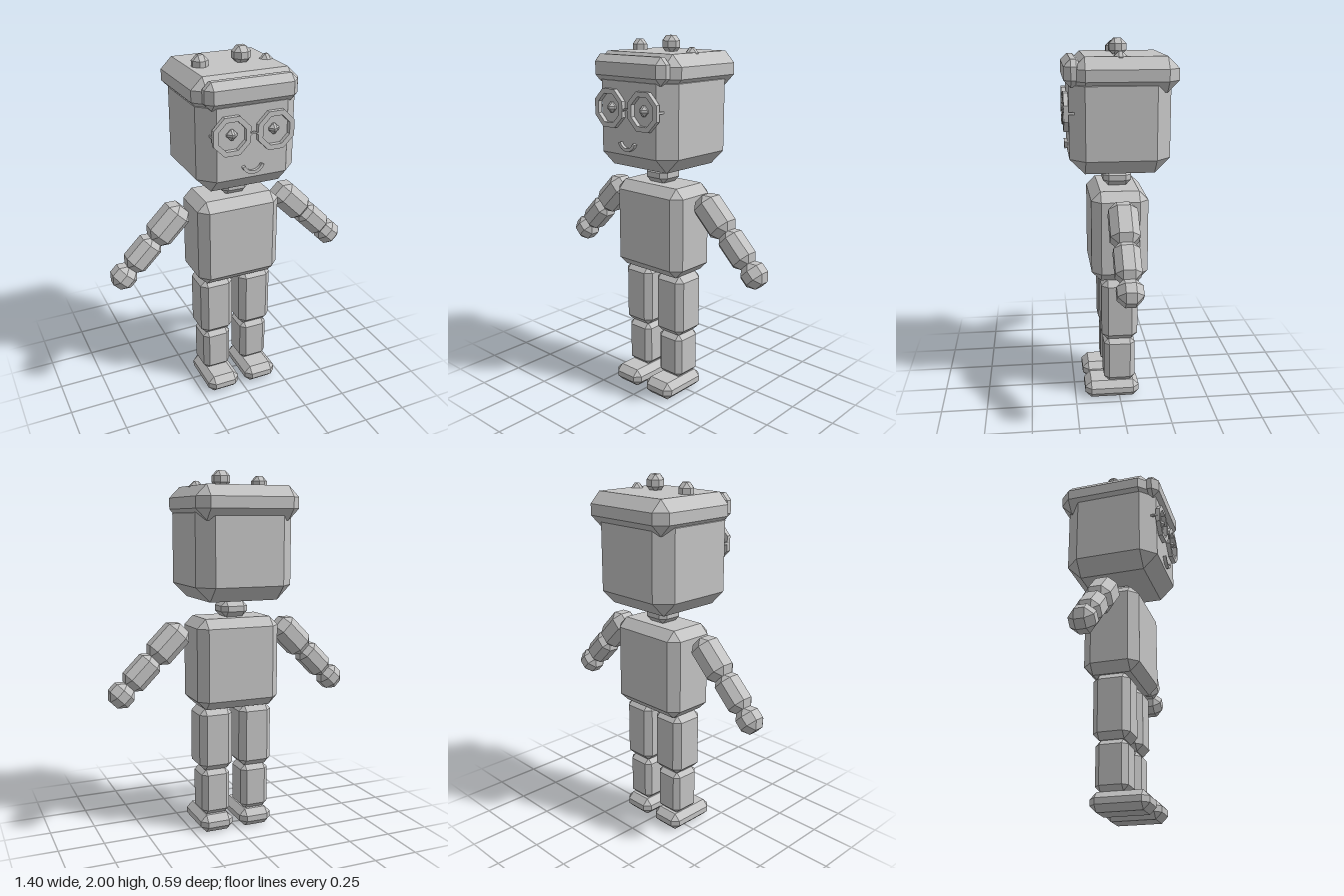
import * as THREE from 'three';
import { ConvexGeometry } from 'three/addons/geometries/ConvexGeometry.js';

const grey = new THREE.MeshStandardMaterial({ color: 0xc4c4c4 });
grey.name = 'plain grey';

// Box with every edge and corner cut off at distance b
function chamferBox(w, h, d, b) {
  const pts = [];
  for (const x of [-1, 1]) for (const y of [-1, 1]) for (const z of [-1, 1]) {
    const X = w / 2, Y = h / 2, Z = d / 2;
    pts.push(
      new THREE.Vector3(x * X, y * (Y - b), z * (Z - b)),
      new THREE.Vector3(x * (X - b), y * Y, z * (Z - b)),
      new THREE.Vector3(x * (X - b), y * (Y - b), z * Z));
  }
  return new ConvexGeometry(pts);
}

// Flat band following an arc, given thickness along z
function arcBand(inner, outer, from, to, steps, depth) {
  const at = (r, i) => {
    const a = from + (to - from) * i / steps;
    return new THREE.Vector2(Math.cos(a) * r, Math.sin(a) * r);
  };
  const pts = [];
  for (let i = 0; i <= steps; i++) pts.push(at(outer, i));
  for (let i = steps; i >= 0; i--) pts.push(at(inner, i));
  return new THREE.ExtrudeGeometry(new THREE.Shape(pts), { depth, bevelEnabled: false });
}

// Eight-sided ring
function octagonRing(inner, outer, depth) {
  const loop = r => Array.from({ length: 8 }, (_, i) => {
    const a = (i + 0.5) * Math.PI / 4;
    return new THREE.Vector2(Math.cos(a) * r, Math.sin(a) * r);
  });
  const shape = new THREE.Shape(loop(outer));
  shape.holes.push(new THREE.Path(loop(inner).reverse()));
  return new THREE.ExtrudeGeometry(shape, { depth, bevelEnabled: false });
}

export function createModel() {
  const model = new THREE.Group();
  model.name = 'blockFigure';

  const add = (name, geometry, x, y, z, rotZ = 0) => {
    const mesh = new THREE.Mesh(geometry, grey);
    mesh.name = name;
    mesh.position.set(x, y, z);
    mesh.rotation.z = rotZ;
    model.add(mesh);
    return mesh;
  };
  const block = (name, [w, h, d], b, [x, y, z], rotZ = 0) =>
    add(name, chamferBox(w, h, d, b), x, y, z, rotZ);

  // Trunk and head
  block('torso', [0.476, 0.5, 0.306], 0.05, [0, 0.968, 0]);
  block('neck', [0.154, 0.09, 0.154], 0.03, [0, 1.262, 0]);
  block('head', [0.546, 0.54, 0.526], 0.08, [0, 1.586, 0]);

  // Cap with front brim and three studs
  block('cap', [0.58, 0.18, 0.54], 0.06, [0, 1.828, -0.028]);
  block('capBrim', [0.5, 0.14, 0.1], 0.036, [0, 1.836, 0.237]);
  block('studRight', [0.085, 0.09, 0.08], 0.028, [-0.167, 1.931, 0]);
  block('studMiddle', [0.094, 0.09, 0.09], 0.028, [0.058, 1.955, 0]);
  block('studLeft', [0.074, 0.074, 0.074], 0.028, [0.2, 1.906, 0]);

  // Mouth
  const deg = Math.PI / 180;
  add('mouth', arcBand(0.047, 0.064, -160 * deg, -20 * deg, 8, 0.022), 0, 1.482, 0.259);

  // Glasses bridge
  add('glassesBridge', arcBand(0.025, 0.033, 35 * deg, 145 * deg, 4, 0.012), 0, 1.61, 0.274);

  for (const s of [-1, 1]) {
    const side = s > 0 ? 'Left' : 'Right';

    // Eyes and glasses
    block('eye' + side, [0.056, 0.056, 0.056], 0.022, [s * 0.115, 1.638, 0.265]);
    add('lensFrame' + side, octagonRing(0.08, 0.108, 0.024), s * 0.12, 1.635, 0.265);
    add('glassesTemple' + side, new THREE.BoxGeometry(0.01, 0.012, 0.06), s * 0.216, 1.637, 0.258);

    // Arm, hanging outwards at 45 degrees
    const tilt = s * Math.PI / 4;
    block('upperArm' + side, [0.152, 0.24, 0.152], 0.042, [s * 0.37, 1.085, 0], tilt);
    block('forearm' + side, [0.134, 0.21, 0.134], 0.037, [s * 0.52, 0.937, 0], tilt);
    block('hand' + side, [0.133, 0.133, 0.133], 0.04, [s * 0.633, 0.822, 0], tilt);

    // Leg
    block('thigh' + side, [0.194, 0.355, 0.2], 0.034, [s * 0.118, 0.539, 0]);
    block('shin' + side, [0.166, 0.262, 0.174], 0.028, [s * 0.118, 0.231, 0]);
    block('foot' + side, [0.192, 0.1, 0.306], 0.034, [s * 0.118, 0.05, 0.042]);
  }
  return model;
}
